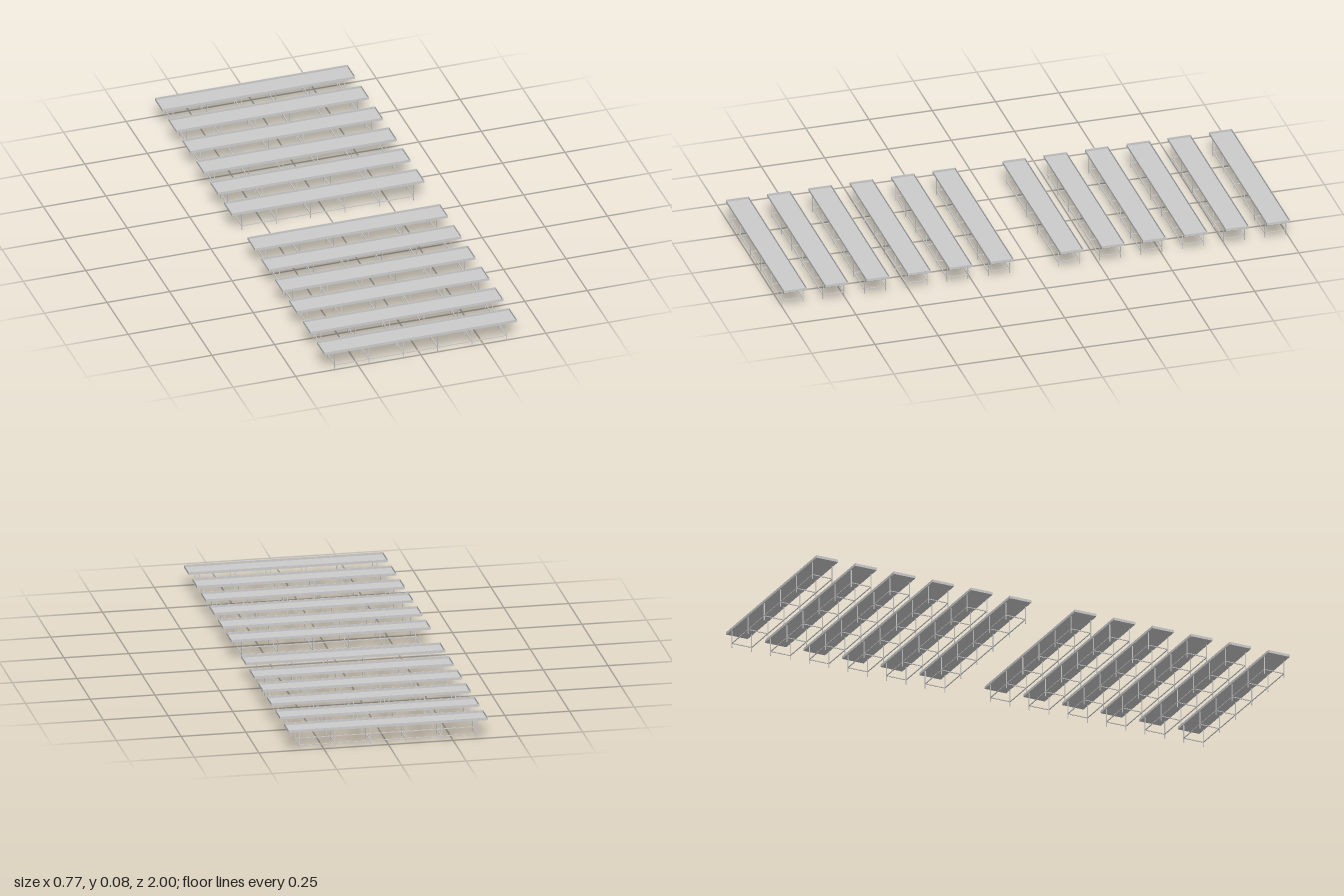
import * as THREE from 'three';

const material = new THREE.MeshStandardMaterial({ color: 0xcccccc });
const W = 0.77, D = 0.091;            // tray length and depth
const TRAY_Y = 0.0715, TRAY_H = 0.0105;
const WALL = 0.0015, FLOOR = 0.0015;
const BAR = 0.003, RAIL_Y = 0.0185;
const LEG_X = 0.343, LEG_Z = 0.0415;

function addBox(parent, name, w, h, d, x, y, z) {
  const mesh = new THREE.Mesh(new THREE.BoxGeometry(w, h, d), material);
  mesh.name = name;
  mesh.position.set(x, y, z);
  parent.add(mesh);
}

function createBench() {
  const bench = new THREE.Group();

  // shallow open tray: floor and four thin walls
  addBox(bench, 'trayFloor', W, FLOOR, D, 0, TRAY_Y + FLOOR / 2, 0);
  const wallY = TRAY_Y + TRAY_H / 2;
  for (const s of [-1, 1]) {
    addBox(bench, 'traySideWall', W, TRAY_H, WALL, 0, wallY, s * (D - WALL) / 2);
    addBox(bench, 'trayEndWall', WALL, TRAY_H, D - 2 * WALL, s * (W - WALL) / 2, wallY, 0);
  }

  // six pairs of legs, each tied by a low crossbar
  for (let i = 0; i < 6; i++) {
    const x = -LEG_X + i * LEG_X * 2 / 5;
    for (const s of [-1, 1]) addBox(bench, 'leg', BAR, TRAY_Y, BAR, x, TRAY_Y / 2, s * LEG_Z);
    addBox(bench, 'crossbar', BAR, BAR, 2 * LEG_Z, x, RAIL_Y, 0);
  }

  // long low rails joining the legs
  for (const s of [-1, 1]) addBox(bench, 'longRail', 2 * LEG_X, BAR, BAR, 0, RAIL_Y, s * LEG_Z);
  return bench;
}

export function createModel() {
  const model = new THREE.Group();
  model.name = 'benchRows';
  const bench = createBench();

  // two blocks of six benches with an aisle between
  for (const s of [-1, 1]) {
    const block = new THREE.Group();
    block.name = s > 0 ? 'frontBlock' : 'backBlock';
    for (let i = 0; i < 6; i++) {
      const row = bench.clone();
      row.name = 'bench' + (i + 1);
      row.position.z = s * (0.138 + i * 0.1633);
      block.add(row);
    }
    model.add(block);
  }
  return model;
}
